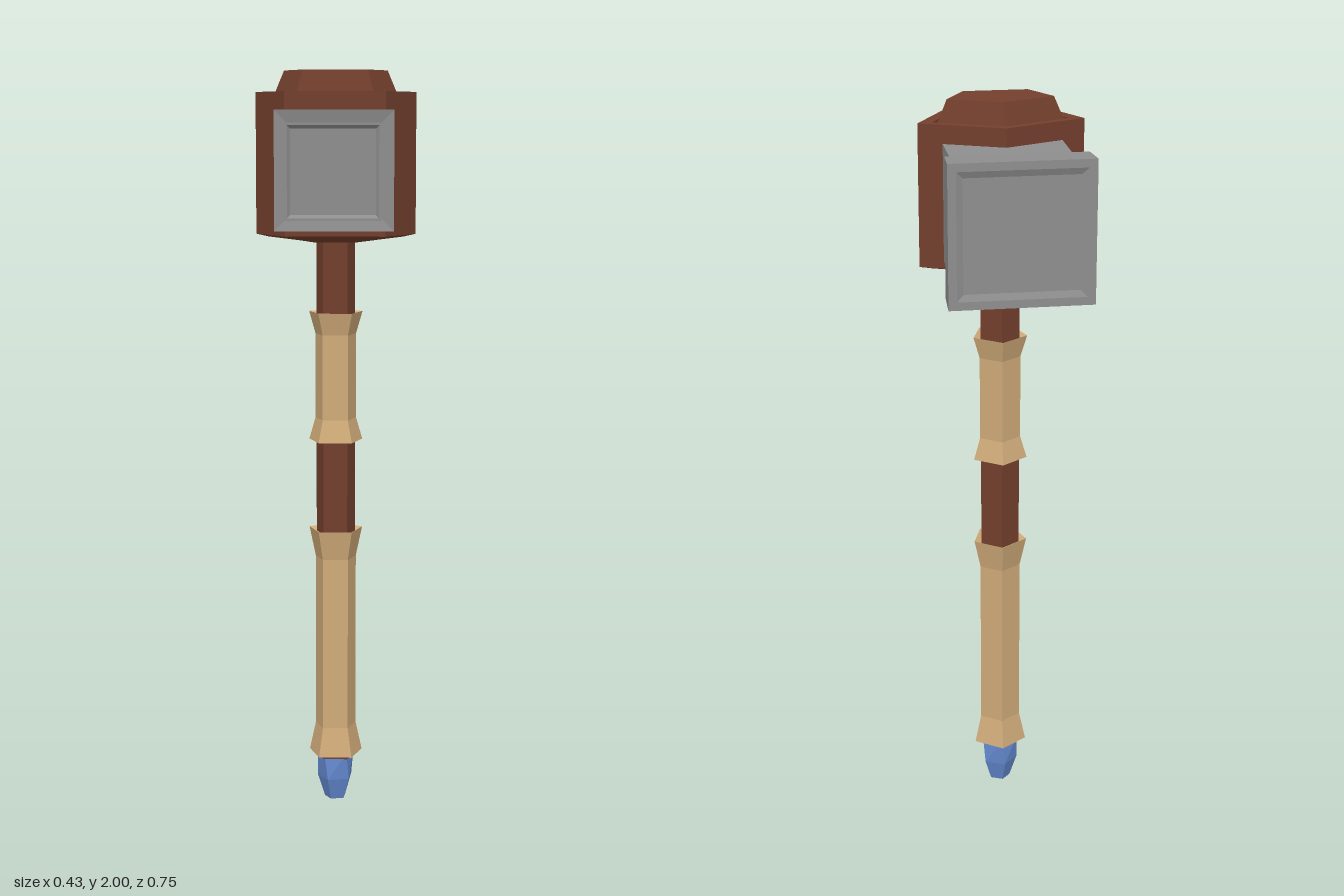
import * as THREE from 'three';

const STONE = 0x8e8e8e, WOOD = 0x733f2d, WRAP = 0xd0ab79, GEM = 0x648ad0;
const AXIS_Z = 0.018; // depth of the shaft's centre line
const HEAD_Y = 1.741; // height of the striking axis

// Skin closed rings of equal point count; rings run anticlockwise seen from the far end.
function loft(name, rings, color) {
  const pos = [];
  const tri = (...pts) => pts.forEach((p) => pos.push(p.x, p.y, p.z));
  const middle = (ring) => ring.reduce((s, p) => s.add(p), new THREE.Vector3()).divideScalar(ring.length);
  const n = rings[0].length;
  for (let r = 0; r < rings.length - 1; r++) {
    const a = rings[r], b = rings[r + 1];
    for (let i = 0; i < n; i++) {
      const j = (i + 1) % n;
      tri(a[i], a[j], b[j]);
      tri(a[i], b[j], b[i]);
    }
  }
  const first = rings[0], last = rings[rings.length - 1];
  const c0 = middle(first), c1 = middle(last);
  for (let i = 0; i < n; i++) {
    const j = (i + 1) % n;
    tri(c0, first[j], first[i]);
    tri(c1, last[i], last[j]);
  }
  const geo = new THREE.BufferGeometry();
  geo.setAttribute('position', new THREE.Float32BufferAttribute(pos, 3));
  geo.computeVertexNormals();
  const mesh = new THREE.Mesh(geo, new THREE.MeshStandardMaterial({ color, flatShading: true }));
  mesh.name = name;
  return mesh;
}

// Five-sided ring around the shaft, one corner to the back
function pentagon(y, radius, depth = 1, twist = 0) {
  return Array.from({ length: 5 }, (_, i) => {
    const a = Math.PI + twist + (i * Math.PI * 2) / 5;
    return new THREE.Vector3(Math.sin(a) * radius, y, AXIS_Z + Math.cos(a) * radius * depth);
  });
}

// Square ring across the striking axis
function square(z, half) {
  return [[1, -1], [1, 1], [-1, 1], [-1, -1]].map(
    ([x, y]) => new THREE.Vector3(x * half, HEAD_Y + y * half, z));
}

// Grip wrap, flared at both ends with sunken end faces
function wrap(name, y0, y1, flare) {
  return loft(name, [
    pentagon(y0 + 0.01, 0.058), pentagon(y0, 0.076),
    pentagon(y0 + flare, 0.058), pentagon(y1 - flare, 0.058),
    pentagon(y1, 0.076), pentagon(y1 - 0.01, 0.058),
  ], WRAP);
}

export function createModel() {
  const model = new THREE.Group();
  model.name = 'warHammer';

  // Shaft, wraps and pommel gem
  model.add(loft('shaft', [pentagon(0.12, 0.055), pentagon(1.6, 0.055)], WOOD));
  model.add(wrap('lowerGrip', 0.13, 0.765, 0.08));
  model.add(wrap('upperGrip', 1.01, 1.36, 0.06));
  model.add(loft('pommelGem', [
    pentagon(0, 0.03, 1, 0.2), pentagon(0.06, 0.05, 1, 0.2), pentagon(0.135, 0.052),
  ], GEM));

  // Wooden head collar with a groove around the raised cap
  const d = 0.575;
  model.add(loft('headCollar', [
    pentagon(1.55, 0.1, 0.8), pentagon(1.56, 0.19, d), pentagon(1.567, 0.226, d),
    pentagon(1.944, 0.226, d), pentagon(1.944, 0.185, d),
    pentagon(1.91, 0.185, d), pentagon(2, 0.145, d),
  ], WOOD));

  // Stone head: central block, small front face, wide flared back face
  model.add(loft('headBlock', [
    square(-0.205, 0.11), square(-0.213, 0.154), square(0.237, 0.154), square(0.229, 0.113),
  ], STONE));
  model.add(loft('frontFace', [
    square(0.22, 0.112), square(0.237, 0.113), square(0.247, 0.118),
    square(0.376, 0.121), square(0.376, 0.115), square(0.368, 0.107),
  ], STONE));
  model.add(loft('backFace', [
    square(-0.369, 0.145), square(-0.376, 0.162), square(-0.376, 0.183),
    square(-0.285, 0.179), square(-0.213, 0.11), square(-0.2, 0.11),
  ], STONE));

  return model;
}
